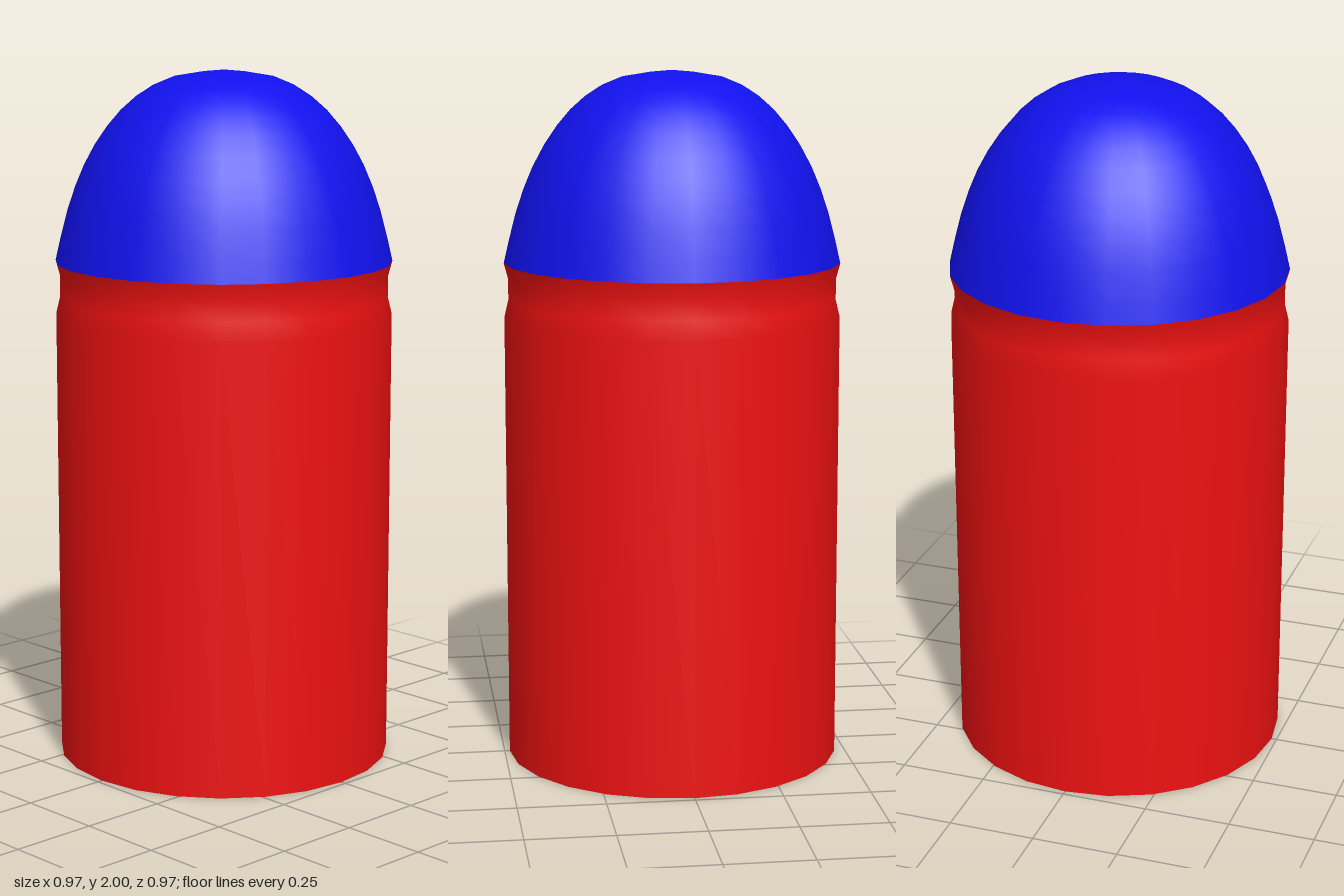
import * as THREE from 'three';

const SIDES = 24;

// Revolve a bottom-to-top profile of [radius, height] pairs
function lathe(name, points, color) {
  const mesh = new THREE.Mesh(
    new THREE.LatheGeometry(points, SIDES),
    new THREE.MeshStandardMaterial({ color, side: THREE.DoubleSide })
  );
  mesh.name = name;
  return mesh;
}

const toPoints = (pairs) => pairs.map(([r, y]) => new THREE.Vector2(r, y));

export function createModel() {
  const group = new THREE.Group();
  group.name = 'capsule';

  // Open-bottomed tube with a shallow groove below the rim
  const casing = toPoints([
    [0.485, 0], [0.485, 1.3], [0.473, 1.35], [0.473, 1.41], [0.485, 1.455],
  ]);
  group.add(lathe('casing', casing, 0xee1111));

  // Rounded nose, tapering smoothly to the tip
  const nose = new THREE.SplineCurve(toPoints([
    [0.485, 1.455], [0.449, 1.6], [0.4, 1.73], [0.333, 1.84],
    [0.25, 1.925], [0.145, 1.98], [0, 2],
  ])).getPoints(12);
  nose[nose.length - 1].x = 0;
  group.add(lathe('nose', nose, 0x1111ee));

  return group;
}
